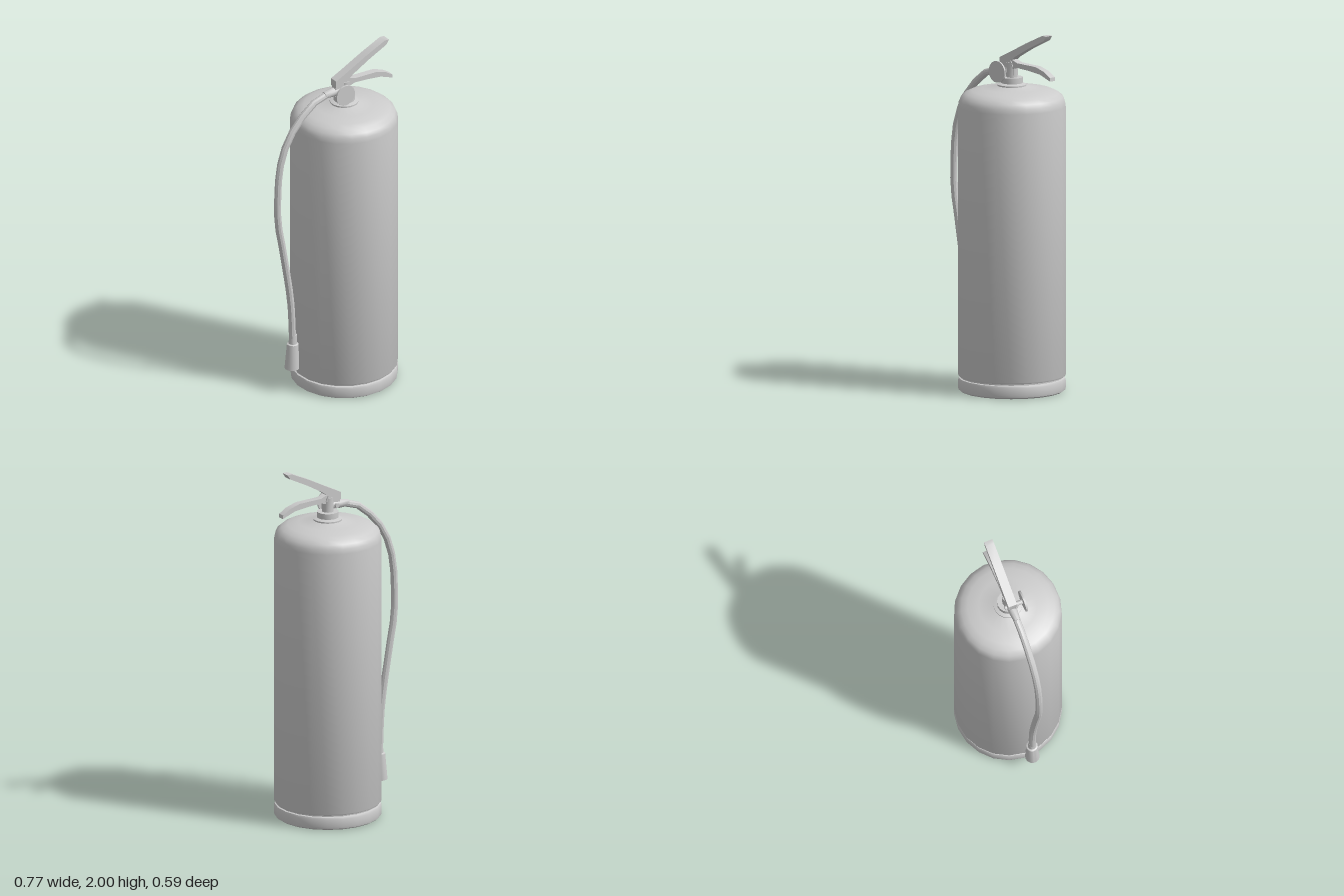
import * as THREE from 'three';
import { toCreasedNormals } from 'three/addons/utils/BufferGeometryUtils.js';

const CX = 0.072; // axis of the tank
const grey = new THREE.MeshStandardMaterial({ color: 0xcccccc });
const greyDouble = new THREE.MeshStandardMaterial({ color: 0xcccccc, side: THREE.DoubleSide });

export function createModel() {
  const group = new THREE.Group();

  const add = (name, geometry, x = 0, y = 0, z = 0, material = grey) => {
    const mesh = new THREE.Mesh(toCreasedNormals(geometry, 0.6), material);
    mesh.name = name;
    mesh.position.set(x, y, z);
    group.add(mesh);
    return mesh;
  };
  const lathe = (points, sides) =>
    new THREE.LatheGeometry(points.map(([r, y]) => new THREE.Vector2(r, y)), sides);
  // Side profile in x/y given a thickness centred on z = 0
  const plate = (points, depth) =>
    new THREE.ExtrudeGeometry(
      new THREE.Shape(points.map(([x, y]) => new THREE.Vector2(x, y))),
      { depth, bevelEnabled: false }
    ).translate(0, 0, -depth / 2);

  // Tank: foot ring, groove, wall and domed shoulder
  const tank = add('tank', lathe([
    [0, 0], [0.28, 0], [0.292, 0.008], [0.295, 0.02], [0.295, 0.062], [0.291, 0.072],
    [0.282, 0.075], [0.282, 0.082], [0.291, 0.084], [0.295, 0.092],
    [0.295, 1.58], [0.291, 1.607], [0.28, 1.63], [0.256, 1.65], [0.222, 1.665],
    [0.16, 1.677], [0.079, 1.69], [0.079, 1.698], [0.062, 1.706], [0, 1.706],
  ], 21), CX);
  tank.rotation.y = Math.PI;

  // Collar and valve stem
  add('collar', lathe([[0, 1.7], [0.06, 1.7], [0.06, 1.738], [0.03, 1.738], [0, 1.738]], 16), CX);
  add('valveStem', new THREE.CylinderGeometry(0.032, 0.032, 0.09, 12), CX, 1.775);

  // Pressure gauge facing the front
  const gauge = add('gauge', new THREE.CylinderGeometry(0.06, 0.06, 0.01, 20), 0.031, 1.77, 0.073);
  const gaugePipe = add('gaugePipe', new THREE.CylinderGeometry(0.013, 0.013, 0.105, 10), 0.031, 1.77, 0.017);
  gauge.rotation.x = gaugePipe.rotation.x = Math.PI / 2;

  // Valve head, squeeze lever and carrying handle
  add('valveHead', plate([[0.003, 1.785], [0.02, 1.75], [0.1, 1.75], [0.1, 1.815], [0.003, 1.835]], 0.036));
  add('lever', plate([
    [0.003, 1.8], [0.1, 1.8], [0.085, 1.832], [0.12, 1.858], [0.22, 1.915], [0.335, 1.972],
    [0.352, 1.998], [0.325, 2.0], [0.2, 1.942], [0.08, 1.88], [0.003, 1.842],
  ], 0.05));
  add('carryingHandle', plate([
    [0.05, 1.775], [0.09, 1.785], [0.13, 1.797], [0.21, 1.792], [0.3, 1.782], [0.38, 1.752],
    [0.378, 1.772], [0.335, 1.799], [0.27, 1.819], [0.13, 1.823], [0.09, 1.838], [0.05, 1.835],
  ], 0.04));

  // Hose coupling at the valve
  const coupling = add('hoseCoupling', lathe([
    [0, 0], [0.025, 0], [0.025, 0.055], [0.019, 0.11], [0, 0.11],
  ], 12), 0.05, 1.772);
  coupling.rotation.z = Math.PI / 2 + 0.06;

  // Hose hanging beside the tank
  const path = new THREE.CatmullRomCurve3([
    [-0.03, 1.768], [-0.085, 1.757], [-0.165, 1.71], [-0.29, 1.57], [-0.35, 1.41],
    [-0.365, 1.245], [-0.365, 1.075], [-0.335, 0.9], [-0.28, 0.55], [-0.269, 0.33],
  ].map(([x, y]) => new THREE.Vector3(x, y, 0)), false, 'centripetal');
  add('hose', new THREE.TubeGeometry(path, 16, 0.02, 10));

  // Nozzle: sleeve and hollow flared mouth
  const nozzle = add('nozzle', lathe([
    [0, 0.08], [0.033, 0.07], [0.036, 0], [0.04, 0], [0.032, 0.148],
    [0.023, 0.152], [0.021, 0.205], [0, 0.205],
  ], 14), -0.273, 0.143, 0, greyDouble);
  nozzle.rotation.z = -0.04;

  return group;
}
